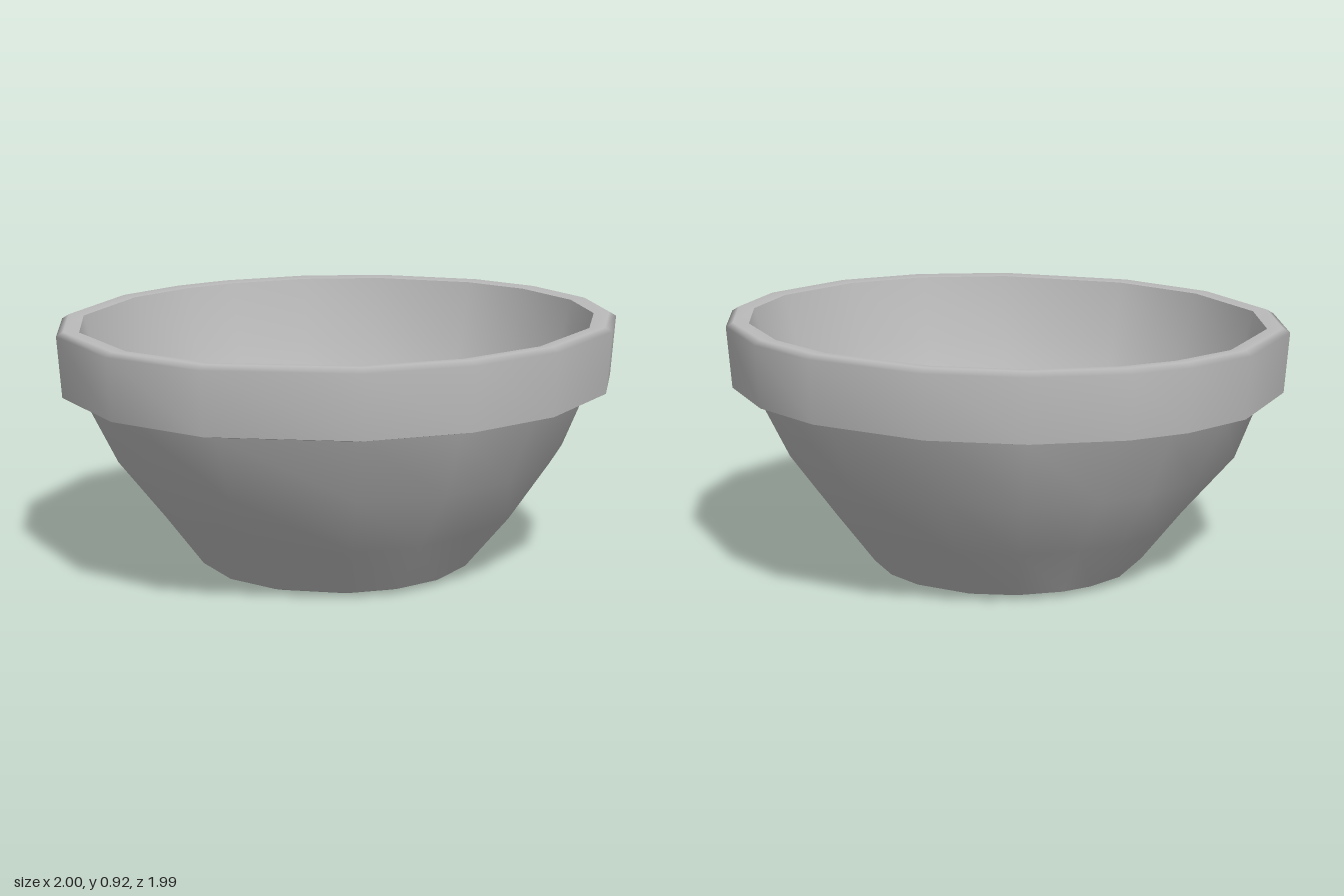
import * as THREE from 'three';

// Uneven facet angles in degrees, starting at the back and turning towards +x
const RIM_ANGLES = [0, 13, 32, 51, 75, 92, 112, 131, 150, 174, 194, 215, 245, 268, 294, 316, 343];

const clay = new THREE.MeshStandardMaterial({ color: 0xbababa });
clay.name = 'grey clay';

// Skin a profile of [radius, height, wobble, centreX] rings, smooth within one part
function ringSurface(name, rings) {
  const n = RIM_ANGLES.length;
  const positions = [];
  const index = [];
  rings.forEach(([radius, y, wobble = 0, cx = 0], i) => {
    RIM_ANGLES.forEach((deg, j) => {
      const a = THREE.MathUtils.degToRad(deg);
      const r = radius + wobble * Math.sin(j * 2.4 + i * 1.7);
      const x = cx + r * Math.sin(a);
      // the rim leans slightly up towards +x
      const lean = 0.02 * x * Math.min(1, y / 0.66);
      positions.push(x, y + lean, -r * Math.cos(a));
      if (i < rings.length - 1) {
        const k = (j + 1) % n;
        const p = i * n, q = p + n;
        index.push(p + j, q + j, q + k, p + j, q + k, p + k);
      }
    });
  });
  const geometry = new THREE.BufferGeometry();
  geometry.setAttribute('position', new THREE.Float32BufferAttribute(positions, 3));
  geometry.setIndex(index);
  geometry.computeVertexNormals();
  const mesh = new THREE.Mesh(geometry, clay);
  mesh.name = name;
  return mesh;
}

export function createModel() {
  const pot = new THREE.Group();
  pot.name = 'plantPot';

  // Underside, from the drain hole out to the foot
  pot.add(ringSurface('base', [[0.075, 0.025, 0.008, 0.02], [0.44, 0.003], [0.495, 0.022]]));

  // Sloping, slightly dented outside wall
  pot.add(ringSurface('outerWall', [
    [0.495, 0.022], [0.64, 0.21, 0.012], [0.805, 0.425, 0.015], [0.905, 0.655],
  ]));

  // Ledge under the thick lip
  pot.add(ringSurface('lipUnderside', [[0.905, 0.655], [0.985, 0.675]]));

  // Upright band and rounded-over top edge
  pot.add(ringSurface('lip', [[0.985, 0.675], [1.0, 0.89], [0.975, 0.905], [0.92, 0.9]]));

  // Hollow inside, down to the drain hole
  pot.add(ringSurface('innerWall', [
    [0.92, 0.9], [0.86, 0.66], [0.75, 0.42, 0.01], [0.59, 0.22, 0.01],
    [0.42, 0.08], [0.075, 0.06, 0.008, 0.02],
  ]));

  // Short wall of the drain hole
  pot.add(ringSurface('drainHole', [[0.075, 0.06, 0.008, 0.02], [0.075, 0.025, 0.008, 0.02]]));

  return pot;
}
